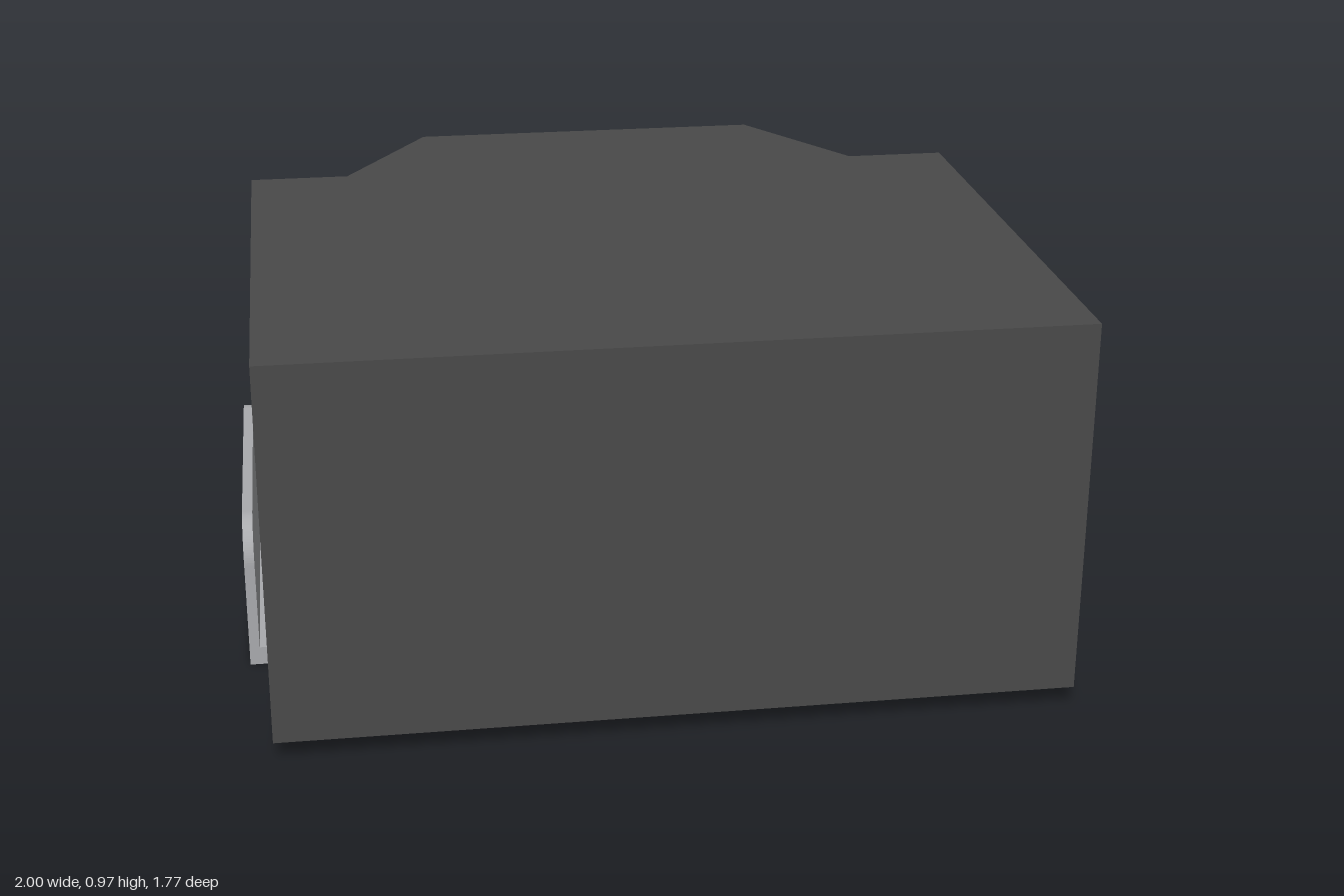
import * as THREE from 'three';

const housing = new THREE.MeshStandardMaterial({ color: 0x4a4a4a });
housing.name = 'dark housing';
const metal = new THREE.MeshStandardMaterial({ color: 0xaaabae });
metal.name = 'tinned metal';

function addMesh(parent, name, geometry, material) {
  const mesh = new THREE.Mesh(geometry, material);
  mesh.name = name;
  parent.add(mesh);
  return mesh;
}

// Block with a tapered nose at the back, drawn as a plan with shape y = -z
function bodyGeometry() {
  const half = [[0.945, -0.885], [0.945, 0.52], [0.69, 0.52], [0.463, 0.885]];
  const mirrored = half.map(([x, y]) => [-x, y]).reverse();
  const plan = new THREE.Shape([...half, ...mirrored].map(([x, y]) => new THREE.Vector2(x, y)));
  return new THREE.ExtrudeGeometry(plan, { depth: 0.92, bevelEnabled: false })
    .rotateX(-Math.PI / 2)
    .translate(0, 0.05, 0);
}

// Upright tab with two rounded top corners, drawn with shape x = -z
function tabGeometry() {
  const front = -0.4, back = 0.485, bottom = 0.045, top = 0.37, r = 0.1;
  const s = new THREE.Shape();
  s.moveTo(front, bottom);
  s.lineTo(back, bottom);
  s.lineTo(back, top - r);
  s.absarc(back - r, top - r, r, 0, Math.PI / 2, false);
  s.lineTo(front + r, top);
  s.absarc(front + r, top - r, r, Math.PI / 2, Math.PI, false);
  s.closePath();
  return new THREE.ExtrudeGeometry(s, { depth: 0.025, bevelEnabled: false, curveSegments: 12 })
    .rotateY(Math.PI / 2)
    .translate(-0.0125, 0, 0);
}

export function createModel() {
  const model = new THREE.Group();
  model.name = 'surfaceMountComponent';
  addMesh(model, 'body', bodyGeometry(), housing);

  // L-shaped terminals, one on each side
  for (const side of [1, -1]) {
    const terminal = new THREE.Group();
    terminal.name = side > 0 ? 'leftTerminal' : 'rightTerminal';
    const foot = addMesh(terminal, 'footPlate', new THREE.BoxGeometry(0.475, 0.046, 0.98), metal);
    foot.position.set(side * 0.7625, 0.023, -0.09);
    const tab = addMesh(terminal, 'sideTab', tabGeometry(), metal);
    tab.position.x = side * 0.9875;
    model.add(terminal);
  }
  return model;
}
